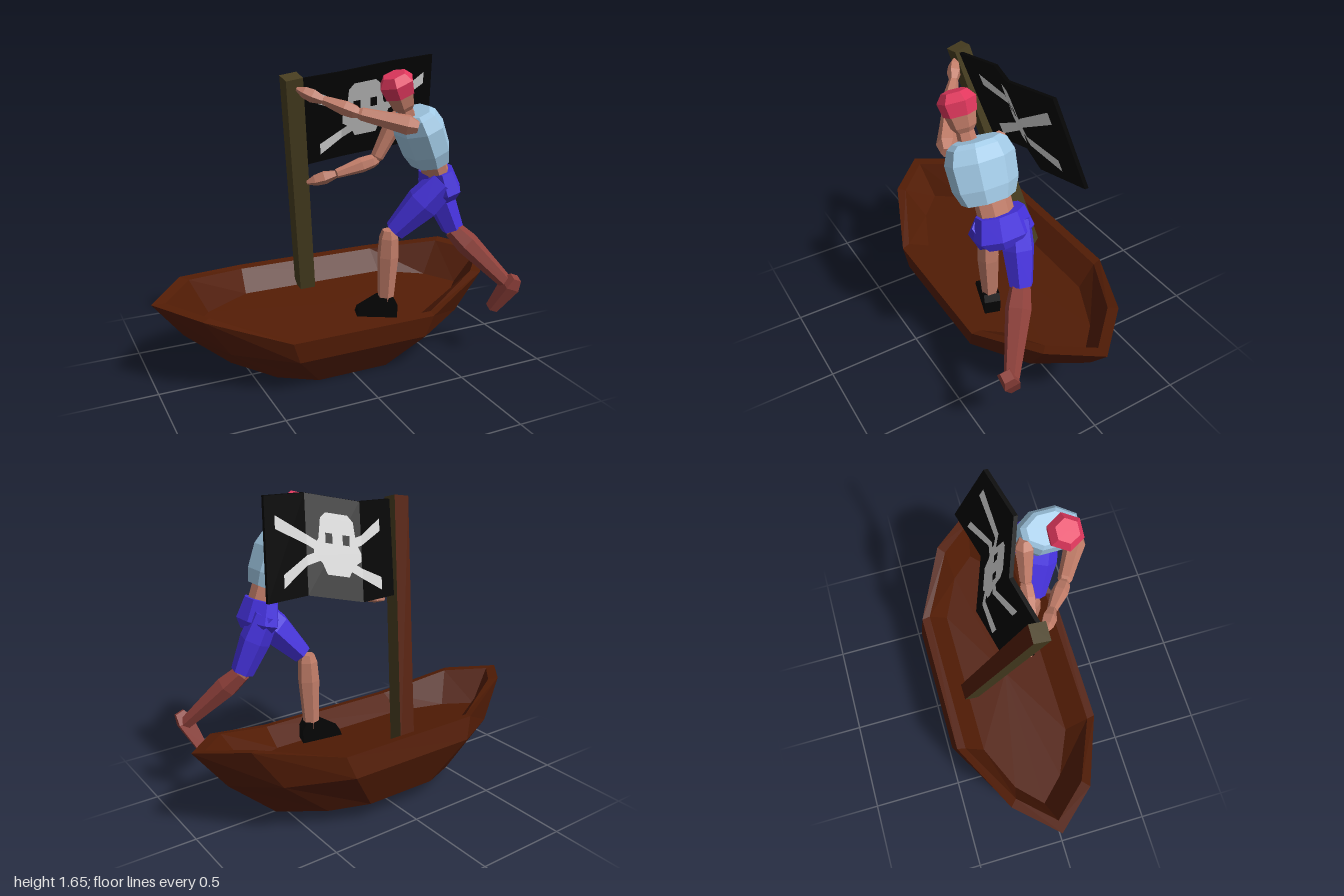
import * as THREE from 'three';

const mat = (name, color, double = false) => {
  const m = new THREE.MeshStandardMaterial({ color });
  if (double) m.side = THREE.DoubleSide;
  m.name = name;
  return m;
};
const V = (p) => new THREE.Vector3(...p);

// Faceted shading: split shared vertices and recompute normals
function flat(geometry) {
  const g = geometry.index ? geometry.toNonIndexed() : geometry;
  g.computeVertexNormals();
  return g;
}

// Closed loft through rings that all have the same number of points
function loft(rings) {
  const n = rings[0].length, index = [];
  for (let i = 0; i < rings.length - 1; i++) {
    for (let j = 0; j < n; j++) {
      const a = i * n + j, b = i * n + (j + 1) % n;
      index.push(a, b, a + n, b, b + n, a + n);
    }
  }
  const g = new THREE.BufferGeometry();
  g.setAttribute('position', new THREE.Float32BufferAttribute(rings.flat(2), 3));
  g.setIndex(index);
  return flat(g);
}

export function createModel() {
  const model = new THREE.Group();
  const wood = mat('hull brown', 0x521c05);
  const pole = mat('mast olive', 0x483e20);
  const black = mat('black', 0x040404, true);
  const bone = mat('bone grey', 0xd8d8d8, true);
  const skin = mat('skin', 0xc07c68);
  const rust = mat('rust red', 0x8e403a);
  const blue = mat('trouser blue', 0x4632de);
  const shirtBlue = mat('shirt light blue', 0xa2cae6);
  const red = mat('bandana red', 0xe2385e);

  const add = (name, geometry, material, parent = model) => {
    const mesh = new THREE.Mesh(geometry, material);
    mesh.name = name;
    parent.add(mesh);
    return mesh;
  };

  // Faceted body part along a-b; profile holds [fraction, radius], width stretches z
  function part(name, material, a, b, profile, sides, width, parent) {
    const start = V(a), dir = V(b).sub(start), len = dir.length();
    const pts = [[profile[0][0], 0], ...profile, [profile.at(-1)[0], 0]];
    const g = new THREE.LatheGeometry(
      pts.map(([t, r]) => new THREE.Vector2(r, t * len)), sides, Math.PI / sides);
    g.scale(1, 1, width);
    const mesh = add(name, flat(g), material, parent);
    mesh.position.copy(start);
    mesh.quaternion.setFromUnitVectors(new THREE.Vector3(0, 1, 0), dir.normalize());
  }

  // Hull: each ring is mirrored from three points (side, quarter, tip), then slid by dz
  const ring = ([p, q, t], dz = 0) => {
    const m = ([x, y, z], sx, sz) => [x * sx, y, z * sz + dz];
    return [m(p, 1, 1), m(q, 1, 1), m(t, 1, 1), m(q, 1, -1), m(p, 1, -1),
      m(p, -1, -1), m(q, -1, -1), m(t, -1, 1), m(q, -1, 1), m(p, -1, 1)];
  };
  const centre = (y) => [[0, y, 0], [0, y, 0], [0, y, 0]];
  const hull = add('hull', loft([
    ring(centre(0), 0.018),
    ring([[0.2, 0, 0.295], [0.4, 0, 0.2], [0.59, 0, 0]], 0.018),
    ring([[0.36, 0.222, 0.418], [0.66, 0.222, 0.24], [0.84, 0.222, 0]]),
    ring([[0.4, 0.34, 0.412], [0.8, 0.435, 0.227], [1, 0.437, 0]]),
    ring([[0.41, 0.34, 0.365], [0.76, 0.43, 0.19], [0.93, 0.433, 0]]),
    ring([[0.42, 0.245, 0.25], [0.67, 0.245, 0.135], [0.8, 0.245, 0]]),
    ring(centre(0.245)),
  ]), wood);
  hull.position.set(0, 0.05, -0.1);
  hull.rotation.x = 0.17;

  // Mast: leaning post with a brown back face
  const foot = V([-0.055, 0.28, -0.31]), lean = V([-0.26, 1.57, 0.035]).sub(foot);
  const mast = add('mast', new THREE.BoxGeometry(0.09, lean.length(), 0.085),
    [pole, pole, pole, pole, pole, wood]);
  mast.position.copy(foot).addScaledVector(lean, 0.5);
  mast.quaternion.setFromUnitVectors(new THREE.Vector3(0, 1, 0), lean.clone().normalize());

  // Flag surface: three flat panels; u runs along, v runs down, d is the offset
  const folds = [0, 0.297, 0.649, 1];
  const edge = [[-0.215, 1.56, 0.045], [0.02, 1.575, -0.012], [0.28, 1.63, 0.085], [0.54, 1.645, 0.018]];
  const onFlag = (u, v, d) => {
    const i = u <= folds[1] ? 0 : u <= folds[2] ? 1 : 2;
    const t = (u - folds[i]) / (folds[i + 1] - folds[i]);
    const p = V(edge[i]).lerp(V(edge[i + 1]), t);
    return [p.x + 0.08 * v, p.y - 0.47 * v, p.z - 0.15 * v + d];
  };
  const flag = new THREE.Group();
  flag.name = 'flag';
  model.add(flag);
  const section = (u) =>
    [[0, 0.01], [1, 0.01], [1, -0.01], [0, -0.01]].map(([v, d]) => onFlag(u, v, d));
  const end = (u) => Array(4).fill(onFlag(u, 0.5, 0));
  add('cloth', loft([end(0), ...folds.map(section), end(1)]), black, flag);

  // Painted strip on the flag between two lines of [u, v] points
  function strip(name, material, left, right, d) {
    const pos = [];
    for (let i = 0; i < left.length - 1; i++) {
      const [a, b, c, e] = [left[i], right[i], right[i + 1], left[i + 1]]
        .map(([u, v]) => onFlag(u, v, d));
      pos.push(...a, ...b, ...c, ...a, ...c, ...e);
    }
    const g = new THREE.BufferGeometry();
    g.setAttribute('position', new THREE.Float32BufferAttribute(pos, 3));
    add(name, flat(g), material, flag);
  }
  const skullRows = [[0.16, 0.07], [0.22, 0.105], [0.42, 0.12], [0.52, 0.152], [0.6, 0.15], [0.66, 0.1], [0.77, 0.07]];
  for (const s of [1, -1]) {
    for (const [u0, v0, u1, v1] of [[0.12, 0.25, 0.86, 0.82], [0.12, 0.85, 0.92, 0.25]]) {
      const us = [u0, folds[1], folds[2], u1];
      const line = (o) => us.map((u, i) =>
        [u, v0 + (v1 - v0) * (u - u0) / (u1 - u0) + o * (i % 3 ? 0.05 : 0.065)]);
      strip('crossbone', bone, line(-1), line(1), s * 0.014);
    }
    strip('skull', bone, skullRows.map(([v, w]) => [0.455 - w, v]),
      skullRows.map(([v, w]) => [0.455 + w, v]), s * 0.016);
    for (const u of [0.4, 0.51]) {
      strip('eye socket', black, [[u - 0.022, 0.36], [u - 0.022, 0.46]],
        [[u + 0.022, 0.36], [u + 0.022, 0.46]], s * 0.018);
    }
  }

  // Sailor
  const sailor = new THREE.Group();
  sailor.name = 'sailor';
  model.add(sailor);
  const body = (name, m, a, b, prof, sides = 6, w = 1) => part(name, m, a, b, prof, sides, w, sailor);

  // Head and bandana share one axis
  const neck = [0.255, 1.37, 0.28], crown = [0.165, 1.587, 0.295];
  body('head', skin, neck, crown, [[0, 0.045], [0.2, 0.042], [0.3, 0.06], [0.6, 0.076]]);
  body('bandana', red, neck, crown, [[0.55, 0.079], [0.83, 0.092], [1, 0.06]]);

  // Torso
  body('shirt', shirtBlue, [0.405, 1.135, 0.26], [0.295, 1.395, 0.26],
    [[0, 0.092], [0.25, 0.112], [0.7, 0.118], [0.93, 0.1], [1, 0.08]], 8, 1.48);
  body('midriff', skin, [0.455, 1.05, 0.245], [0.395, 1.2, 0.255], [[0, 0.065], [1, 0.065]], 8, 1.4);
  body('hips', blue, [0.5, 0.93, 0.225], [0.455, 1.085, 0.23],
    [[0, 0.07], [0.3, 0.098], [1, 0.078]], 8, 1.6);

  // Front leg
  body('front thigh', blue, [0.465, 1.025, 0.295], [0.235, 0.745, 0.182],
    [[0, 0.08], [0.4, 0.093], [0.95, 0.058]]);
  body('front shin', skin, [0.228, 0.76, 0.165], [0.225, 0.34, 0.145],
    [[0, 0.038], [0.1, 0.052], [0.35, 0.058], [1, 0.042]]);
  // Wedge shoe turned slightly toward the mast
  const side = new THREE.Shape([[-0.16, 0.285], [0.06, 0.265], [0.06, 0.34], [0.04, 0.38], [-0.04, 0.38], [-0.15, 0.315]]
    .map(([x, y]) => new THREE.Vector2(x, y)));
  const shoe = add('shoe', flat(new THREE.ExtrudeGeometry(side, { depth: 0.085, bevelEnabled: false })),
    black, sailor);
  shoe.position.set(0.235, 0, 0.105);
  shoe.rotation.y = -0.3;

  // Back leg, stepping over the side
  body('back thigh', blue, [0.475, 1.03, 0.155], [0.6, 0.73, 0.2],
    [[0, 0.072], [0.45, 0.08], [1, 0.06]]);
  body('back knee', skin, [0.585, 0.76, 0.19], [0.62, 0.7, 0.22], [[0, 0.045], [1, 0.045]]);
  body('back shin', rust, [0.6, 0.725, 0.205], [0.845, 0.43, 0.405],
    [[0, 0.05], [0.25, 0.064], [1, 0.037]]);
  body('back foot', rust, [0.86, 0.485, 0.44], [0.78, 0.285, 0.35],
    [[0, 0.035], [0.25, 0.058], [1, 0.036]], 4);

  // Arms: shoulder, elbow, wrist, fingertips
  const arms = {
    left: [[0.235, 1.345, 0.375], [0.0, 1.405, 0.235], [-0.14, 1.465, 0.13], [-0.245, 1.515, 0.065]],
    right: [[0.28, 1.35, 0.13], [0.17, 1.13, 0.108], [-0.05, 1.07, 0.08], [-0.18, 1.028, 0.025]],
  };
  for (const [name, [shoulder, elbow, wrist, tip]] of Object.entries(arms)) {
    body(`${name} upper arm`, skin, shoulder, elbow,
      [[-0.08, 0.03], [0.1, 0.052], [0.5, 0.042], [0.92, 0.034], [1, 0.022]]);
    body(`${name} forearm`, skin, elbow, wrist,
      [[-0.05, 0.026], [0.08, 0.036], [0.35, 0.04], [0.95, 0.024]]);
    body(`${name} hand`, skin, wrist, tip,
      [[-0.05, 0.022], [0.35, 0.036], [0.7, 0.03], [1, 0.01]], 5);
  }
  return model;
}
